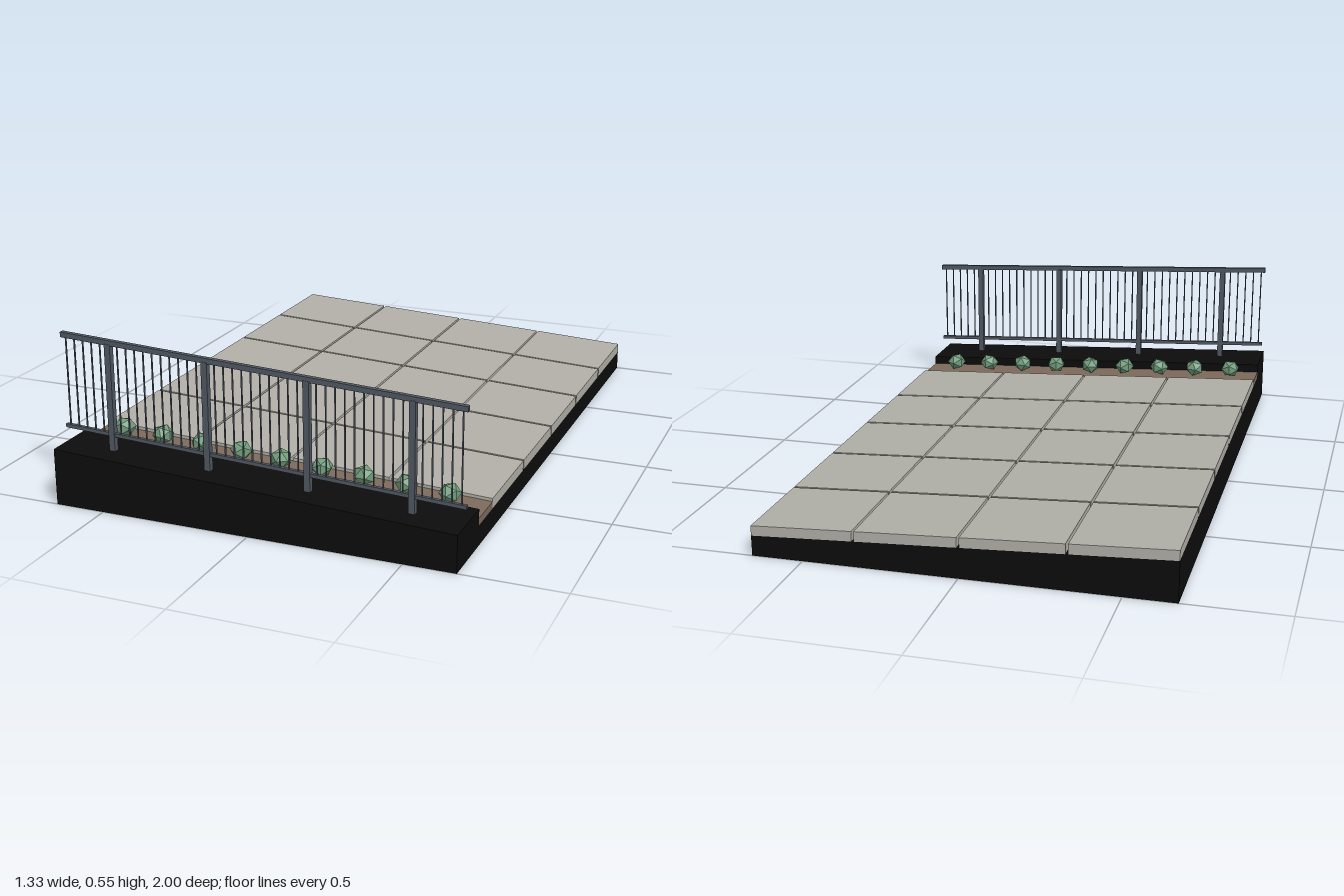
import * as THREE from 'three';

const SLOPE = -0.05; // the ground falls towards +x
const HALF = 0.667;
const WALL_TOP = 0.153, SLAB_TOP = 0.133, BED = 0.1, SOIL_TOP = 0.123;
const RAIL_Z = 0.917;

const mat = (name, color) => {
  const m = new THREE.MeshStandardMaterial({ color });
  m.name = name;
  return m;
};

// Box whose top (and, unless flat, bottom) follows the slope
function slopedBox(x0, x1, y0, y1, z0, z1, flatBottom = false) {
  const g = new THREE.BoxGeometry(x1 - x0, y1 - y0, z1 - z0);
  g.translate((x0 + x1) / 2, (y0 + y1) / 2, (z0 + z1) / 2);
  const p = g.attributes.position;
  for (let i = 0; i < p.count; i++) {
    if (flatBottom && p.getY(i) < (y0 + y1) / 2) continue;
    p.setY(i, p.getY(i) + SLOPE * p.getX(i));
  }
  g.computeVertexNormals();
  return g;
}

export function createModel() {
  const root = new THREE.Group();
  root.name = 'slopedTerrace';
  const black = mat('blackBase', 0x0c0c0c);
  const stone = mat('paleStone', 0xb0aea6);
  const earth = mat('brownSoil', 0x7c6a5b);
  const steel = mat('greyBlueSteel', 0x505862);
  const leaf = mat('leafGreen', 0x719c7c);

  const add = (parent, name, geometry, material) => {
    const m = new THREE.Mesh(geometry, material);
    m.name = name;
    parent.add(m);
    return m;
  };
  const group = (name) => {
    const g = new THREE.Group();
    g.name = name;
    root.add(g);
    return g;
  };

  // Ground and front wall
  add(root, 'base', slopedBox(-HALF, HALF, 0, BED, -1, 0.8, true), black);
  add(root, 'frontWall', slopedBox(-HALF, HALF, 0, WALL_TOP, 0.8, 1, true), black);
  add(root, 'soilStrip', slopedBox(-HALF, HALF, BED, SOIL_TOP, 0.667, 0.8), earth);

  // Paving: 4 x 5 slabs with open joints
  const paving = group('paving');
  const cell = 1 / 3, gap = 0.004;
  for (let i = 0; i < 4; i++) {
    for (let j = 0; j < 5; j++) {
      const x0 = -HALF + i * cell + (i > 0 ? gap : 0);
      const x1 = i < 3 ? -HALF + (i + 1) * cell - gap : HALF;
      const z0 = -1 + j * cell + (j > 0 ? gap : 0);
      const z1 = -1 + (j + 1) * cell - (j < 4 ? gap : 0);
      add(paving, 'slab', slopedBox(x0, x1, BED, SLAB_TOP, z0, z1), stone);
    }
  }

  // Row of low-poly shrubs
  const shrubs = group('shrubs');
  for (let i = 0; i < 9; i++) {
    const x = -0.567 + i * 0.14;
    const shrub = add(shrubs, 'shrub', new THREE.IcosahedronGeometry(0.036, 0), leaf);
    shrub.geometry.rotateY(i * 1.3).scale(1, 0.9, 1);
    shrub.position.set(x, SOIL_TOP + 0.032 + SLOPE * x, 0.733);
  }

  // Railing: sloped rails, posts and thin balusters
  const railing = group('railing');
  const bar = (name, x0, x1, low, high, depth) =>
    add(railing, name, slopedBox(x0, x1, WALL_TOP + low, WALL_TOP + high,
      RAIL_Z - depth / 2, RAIL_Z + depth / 2), steel);
  bar('topRail', -HALF, HALF, 0.346, 0.363, 0.016);
  bar('bottomRail', -HALF, HALF, 0.047, 0.059, 0.012);
  for (const x of [-0.5, -0.167, 0.167, 0.5]) bar('post', x - 0.01, x + 0.01, -0.005, 0.35, 0.02);
  for (let i = 0; i < 44; i++) {
    const x = -0.652 + i * 0.0303;
    bar('baluster', x - 0.002, x + 0.002, 0.055, 0.348, 0.004);
  }
  return root;
}
